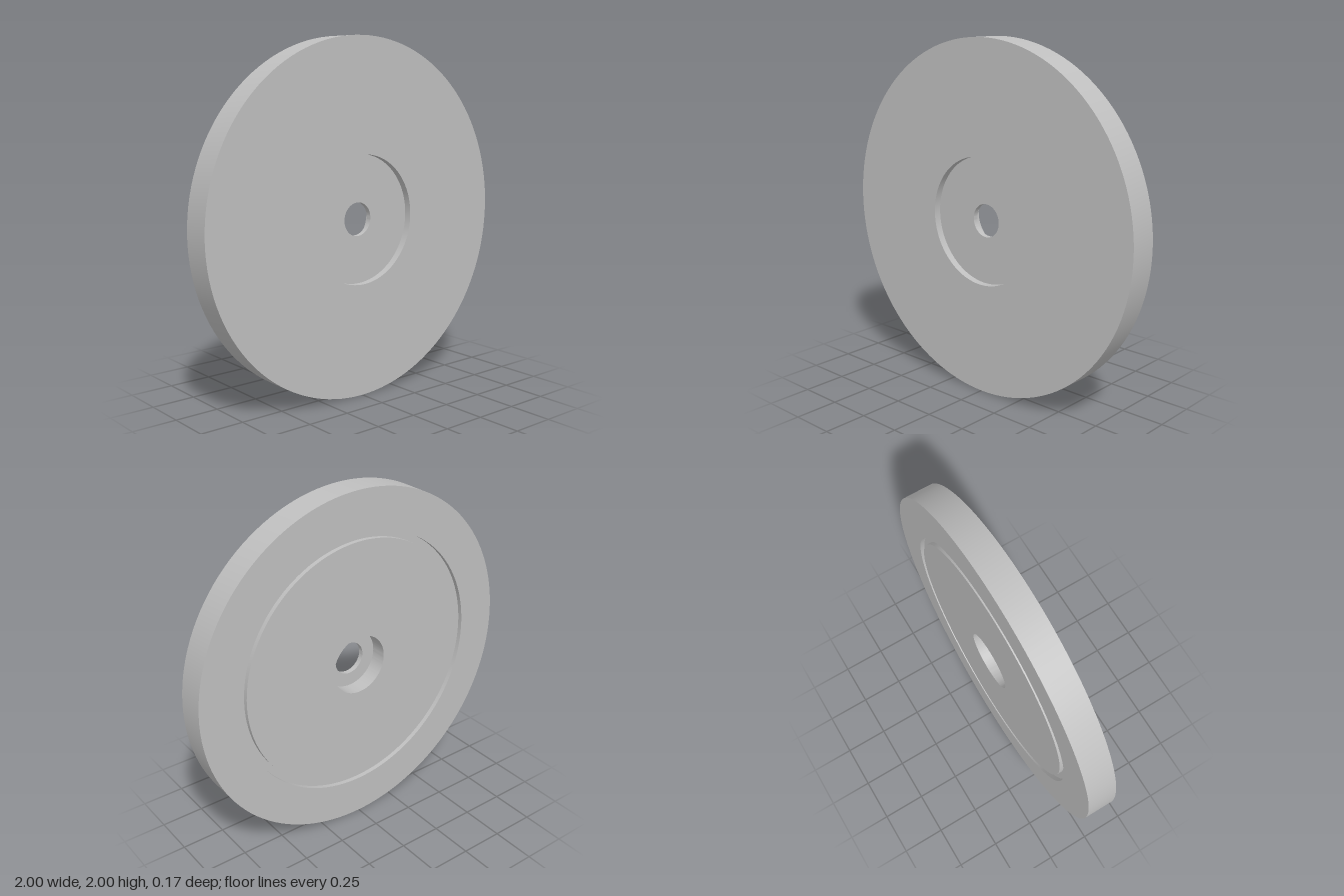
import * as THREE from 'three';
import { toCreasedNormals } from 'three/addons/utils/BufferGeometryUtils.js';

const SEGMENTS = 128;
const FRONT = 0.083, BACK = -0.083;   // faces of the disc along z
const RECESS_FLOOR = FRONT - 0.042;   // shallow round recess in front
const BORE_FLOOR = BACK + 0.094;      // deep counterbore in the back
const GROOVE_FLOOR = BACK + 0.026;    // thin ring groove in the back

export function createModel() {
  const grey = new THREE.MeshStandardMaterial({ color: 0xbfbfbf });
  grey.name = 'grey';
  const model = new THREE.Group();
  model.name = 'wheelDisc';

  // Turns a [radius, z] profile around the z axis, keeping its corners sharp
  function turned(name, profile) {
    const points = profile.map(([r, z]) => new THREE.Vector2(r, z));
    const lathe = new THREE.LatheGeometry(points, SEGMENTS);
    lathe.rotateX(Math.PI / 2);
    const mesh = new THREE.Mesh(toCreasedNormals(lathe, Math.PI / 6), grey);
    mesh.name = name;
    mesh.position.y = 1;
    model.add(mesh);
  }

  // Outer edge and flat front face
  turned('rim', [[0.765, BACK], [1, BACK], [1, FRONT], [0.362, FRONT]]);
  // Recess around the hole in the front
  turned('frontRecess', [[0.362, FRONT], [0.362, RECESS_FLOOR], [0.094, RECESS_FLOOR]]);
  // Centre hole, opening into the wider counterbore
  turned('centreHole', [[0.094, RECESS_FLOOR], [0.094, BORE_FLOOR]]);
  turned('backCounterbore', [[0.094, BORE_FLOOR], [0.172, BORE_FLOOR], [0.172, BACK]]);
  // Flat back face and the ring groove that surrounds it
  turned('backFace', [[0.172, BACK], [0.725, BACK]]);
  turned('backGroove', [[0.725, BACK], [0.725, GROOVE_FLOOR], [0.765, GROOVE_FLOOR], [0.765, BACK]]);

  return model;
}
